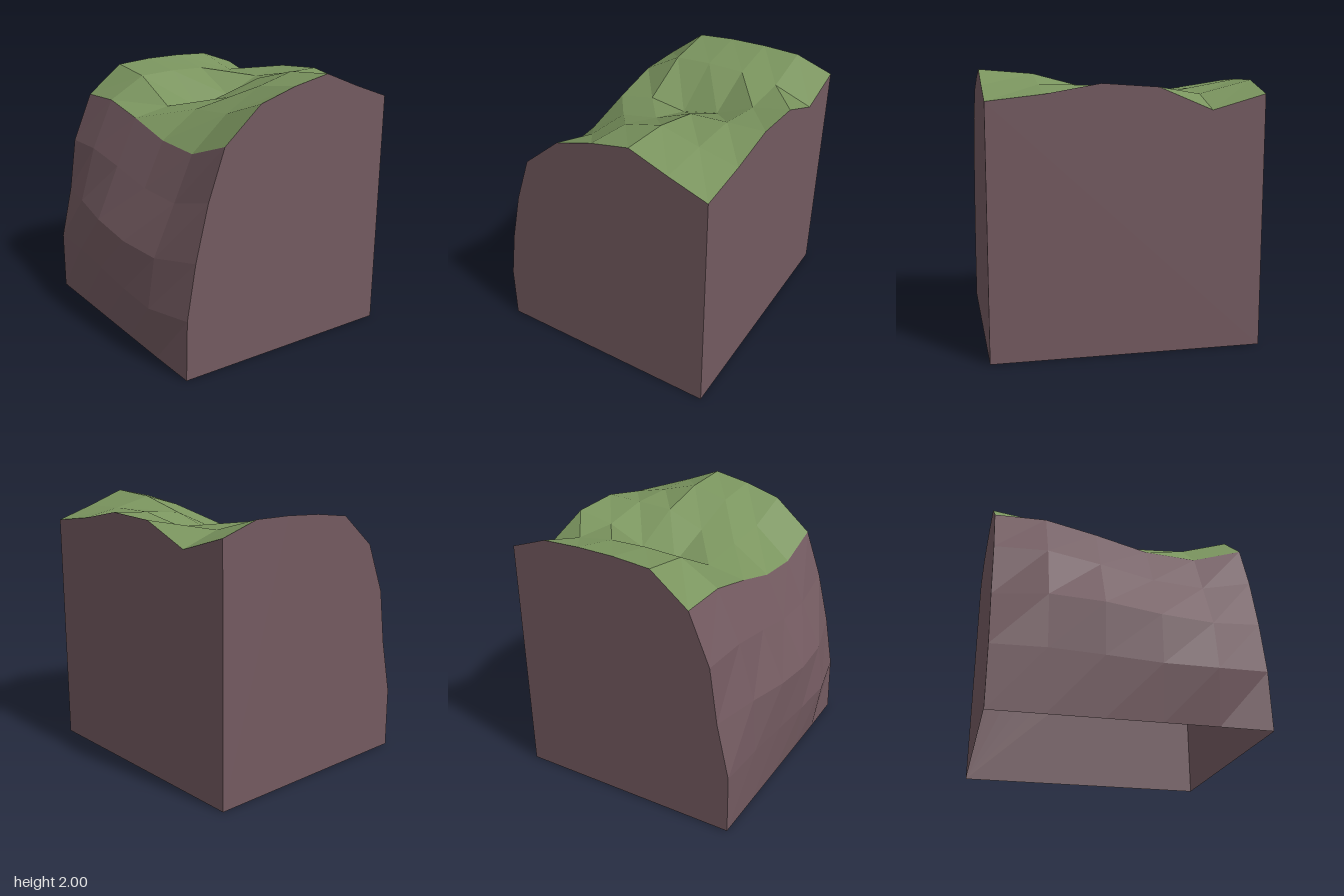
import * as THREE from 'three';

// Grid lines shared by the turf, cliff and cut faces
const XS = [-0.54, -0.25, 0.04, 0.33, 0.62, 0.91];
const ZS = [-0.98, -0.59, -0.2, 0.2, 0.59, 0.98];

// Turf heights, one row per z line from back to front
const HEIGHTS = [
  [1.66, 1.89, 1.92, 1.93, 1.925, 1.83],
  [1.67, 1.84, 1.86, 1.86, 1.825, 1.72],
  [1.59, 1.65, 1.61, 1.68, 1.815, 1.88],
  [1.49, 1.69, 1.75, 1.87, 1.89, 1.905],
  [1.47, 1.72, 1.89, 1.97, 1.895, 1.835],
  [1.60, 1.85, 1.94, 2.0, 1.89, 1.79],
];

// Cliff bulge: x from foot to rim, one row per z line
const CLIFF_LEVELS = [0, 0.275, 0.525, 0.775, 1];
const CLIFF_X = [
  [-0.855, -0.855, -0.76, -0.70, -0.54],
  [-0.855, -0.87, -0.84, -0.715, -0.54],
  [-0.855, -0.885, -0.89, -0.71, -0.54],
  [-0.855, -0.90, -0.89, -0.70, -0.54],
  [-0.855, -0.915, -0.86, -0.69, -0.54],
  [-0.85, -0.84, -0.77, -0.67, -0.54],
];

function fromTriangles(triangles) {
  const geometry = new THREE.BufferGeometry().setFromPoints(triangles.flat());
  geometry.computeVertexNormals();
  return geometry;
}

// Faceted sheet through a grid of points
function sheet(grid) {
  const triangles = [];
  for (let i = 0; i < grid.length - 1; i++) {
    for (let j = 0; j < grid[i].length - 1; j++) {
      const a = grid[i][j], b = grid[i + 1][j];
      const c = grid[i + 1][j + 1], d = grid[i][j + 1];
      triangles.push([a, b, c], [a, c, d]);
    }
  }
  return fromTriangles(triangles);
}

// Flat cut face, fanned from a bottom corner to its outline
function cutFace(corner, outline) {
  return fromTriangles(outline.slice(1).map((p, i) => [corner, p, outline[i]]));
}

export function createModel() {
  const group = new THREE.Group();
  const soil = new THREE.MeshStandardMaterial({ color: 0x735a60 });
  const grass = new THREE.MeshStandardMaterial({ color: 0x7a945e });
  soil.name = 'soil';
  grass.name = 'grass';
  for (const m of [soil, grass]) {
    m.flatShading = true;
    m.side = THREE.DoubleSide;
  }

  const add = (name, geometry, material) => {
    const mesh = new THREE.Mesh(geometry, material);
    mesh.name = name;
    group.add(mesh);
  };

  const turf = ZS.map((z, i) => XS.map((x, j) => new THREE.Vector3(x, HEIGHTS[i][j], z)));
  const cliff = ZS.map((z, i) => CLIFF_LEVELS.map(
    (level, k) => new THREE.Vector3(CLIFF_X[i][k], HEIGHTS[i][0] * level, z)));

  // Grassy top and curved rock side
  add('grassTop', sheet(turf), grass);
  add('rockyCliff', sheet(cliff), soil);

  // Flat sides; the underside stays open
  const last = ZS.length - 1;
  const frontCorner = new THREE.Vector3(XS[5], 0, ZS[last]);
  const backCorner = new THREE.Vector3(XS[5], 0, ZS[0]);
  const profile = (i) => [...cliff[i], ...turf[i].slice(1)];
  add('frontCutFace', cutFace(frontCorner, profile(last)), soil);
  add('backCutFace', cutFace(backCorner, profile(0).reverse()), soil);
  const edge = turf.map((row) => row[5]).reverse();
  add('sideCutFace', cutFace(backCorner, [frontCorner, ...edge]), soil);

  return group;
}
